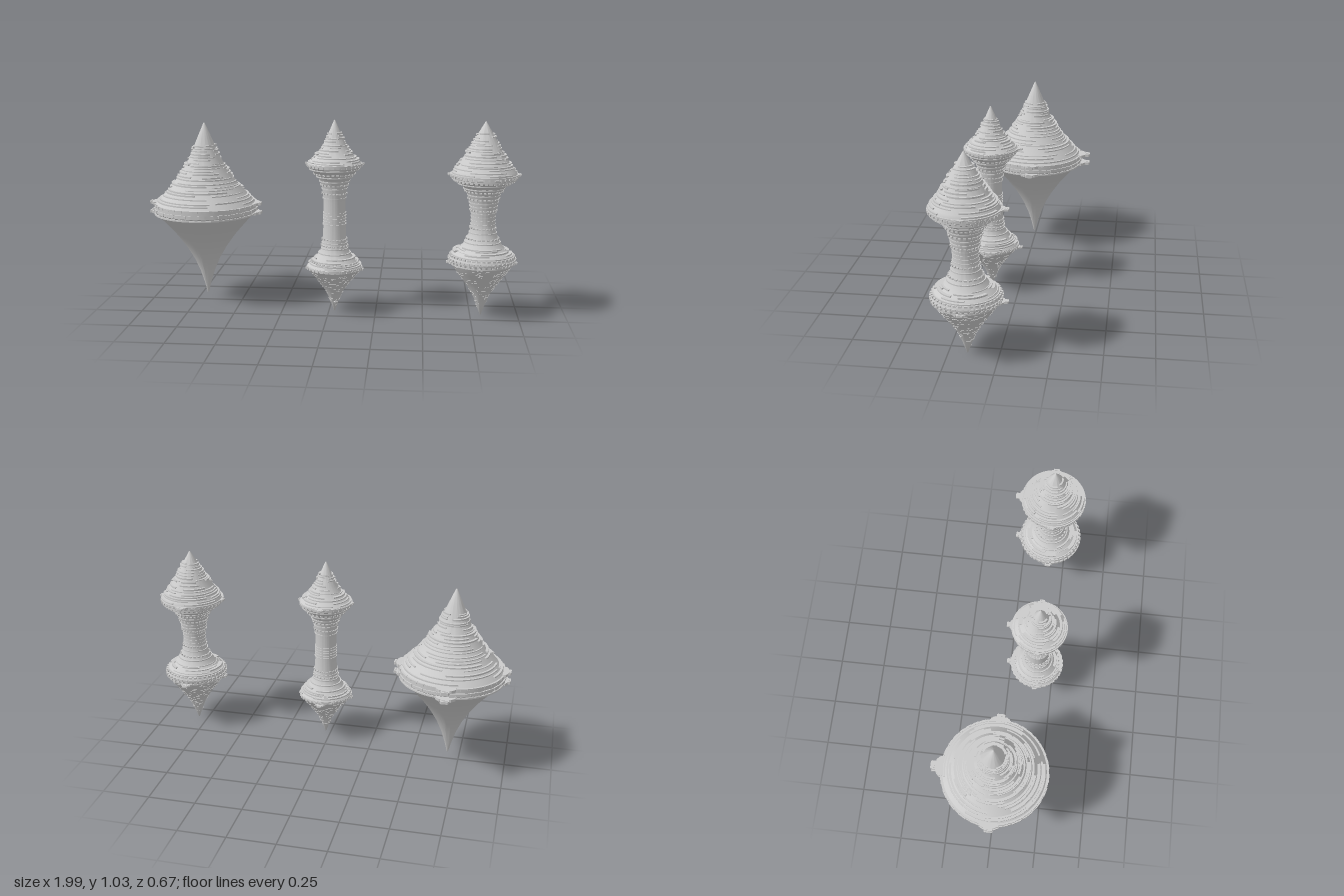
import * as THREE from 'three';
import { mergeGeometries, toCreasedNormals } from 'three/addons/utils/BufferGeometryUtils.js';

const mat = new THREE.MeshStandardMaterial({ color: 0xcccccc });

// Seeded random numbers
let seed = 7;
const rand = (a = 0, b = 1) => {
  seed = (seed * 16807) % 2147483647;
  return a + (b - a) * (seed / 2147483647);
};

// Radius of a [y, r] profile (bottom to top) at height y
function radiusAt(profile, y) {
  for (let i = 1; i < profile.length; i++) {
    const [y0, r0] = profile[i - 1], [y1, r1] = profile[i];
    if (y <= y1) return r0 + (r1 - r0) * Math.max(0, (y - y0) / (y1 - y0));
  }
  return 0;
}

function add(parent, name, geos) {
  const list = [].concat(geos).map(g => (g.index ? g.toNonIndexed() : g));
  const mesh = new THREE.Mesh(list.length > 1 ? mergeGeometries(list) : list[0], mat);
  mesh.name = name;
  parent.add(mesh);
}

function lathe(points, segments = 64) {
  return toCreasedNormals(new THREE.LatheGeometry(points.map(([y, r]) => new THREE.Vector2(r, y)), segments), 0.6);
}

// Full band of rectangular section centred on height y
const band = (y, r, h, depth = 0.02) =>
  lathe([[y - h / 2, r - depth], [y - h / 2, r], [y + h / 2, r], [y + h / 2, r - depth]]);

// Solid curved plate covering part of a circle
function arcPlate(y, r, h, start, length) {
  const inner = Math.max(r - 0.035, 0.002);
  const s = new THREE.Shape();
  s.absarc(0, 0, r, start, start + length, false);
  s.absarc(0, 0, inner, start + length, start, true);
  const g = new THREE.ExtrudeGeometry(s, { depth: h, bevelEnabled: false, curveSegments: Math.ceil(length * 8) });
  return toCreasedNormals(g.rotateX(-Math.PI / 2).translate(0, y, 0), 0.6);
}

// Box sitting on the hull at an angle, tipped to follow the slope
function hullBox(y, r, angle, w, h, d, tilt = 0) {
  return new THREE.BoxGeometry(w, h, d).rotateX(tilt).translate(0, y, r).rotateY(angle);
}

// Irregular stepped decks on an upper cone
function terraces(profile, y0, y1, step) {
  const out = [];
  for (let y = y0; y < y1; y += step * rand(0.7, 1.3)) {
    const n = 2 + Math.floor(rand(0, 3));
    const turn = rand(0, 6.28);
    for (let i = 0; i < n; i++) {
      const r = radiusAt(profile, y) + rand(0.001, 0.008);
      out.push(arcPlate(y + rand(-0.004, 0.004), r, rand(0.004, 0.009), turn + i * 6.28 / n, rand(0.45, 0.98) * 6.28 / n));
    }
  }
  return out;
}

// Row of evenly spaced blocks
function blockRow(y, r, count, h, d) {
  return Array.from({ length: count }, (_, i) =>
    hullBox(y, r, i * 2 * Math.PI / count, 0.62 * 2 * Math.PI * r / count, h, d));
}

// Small raised panels scattered over a lower cone
function panels(profile, y0, y1, count) {
  return Array.from({ length: count }, () => {
    const y = y0 + (y1 - y0) * Math.sqrt(rand());
    const r = radiusAt(profile, y);
    const slope = (radiusAt(profile, y + 0.01) - radiusAt(profile, y - 0.01)) / 0.02;
    return hullBox(y, r, rand(0, 6.28), rand(0.006, 0.022), rand(0.004, 0.012), 0.005, Math.atan(slope));
  });
}

// Docking arms: a long stepped one at the back, short ones at both sides
function docks(y, r, size, t) {
  const out = [];
  [[Math.PI, 1], [Math.PI / 2, 0.55], [-Math.PI / 2, 0.55]].forEach(([a, k]) => {
    const len = size * k;
    const s = new THREE.Shape();
    [[-0.9, -0.4], [-0.9, 0.15], [-0.55, 0.5], [-0.4, 0.5], [-0.4, 0.9], [-0.3, 1],
      [0.3, 1], [0.4, 0.9], [0.4, 0.5], [0.55, 0.5], [0.9, 0.15], [0.9, -0.4]]
      .reverse().forEach(([u, v], i) => s[i ? 'lineTo' : 'moveTo'](u * size, v * len));
    const g = new THREE.ExtrudeGeometry(s, { depth: t, bevelEnabled: false });
    out.push(g.rotateX(Math.PI / 2).translate(0, y + t / 2, r).rotateY(a));
    out.push(hullBox(y, r + len * 0.72, a, size * 0.5, t * 1.5, len * 0.25));
  });
  return out;
}

function station(name, o) {
  const g = new THREE.Group();
  g.name = name;
  const p = o.profile;
  add(g, 'hull', lathe(p));
  add(g, 'steppedDecks', o.decks.flatMap(d => terraces(p, ...d)));
  add(g, 'bands', o.bands.map(([y, h, out]) => band(y, radiusAt(p, y) + out, h)));
  add(g, 'windowBlocks', o.rows.flatMap(([y, n, h]) => blockRow(y, radiusAt(p, y) + 0.002, n, h, 0.009)));
  if (o.panels) add(g, 'hullPanels', o.panels.flatMap(d => panels(p, ...d)));
  add(g, 'dockingArms', o.docks.flatMap(([y, r, size, t]) => docks(y, r, size, t)));
  g.position.set(o.x, 0, o.z);
  return g;
}

export function createModel() {
  const model = new THREE.Group();
  model.name = 'stations';

  // Wide spinning-top station
  model.add(station('largeStation', {
    x: -0.69, z: 0,
    profile: [[0.042, 0], [0.044, 0.004], [0.1, 0.018], [0.173, 0.041], [0.24, 0.07], [0.31, 0.111], [0.377, 0.159],
      [0.445, 0.218], [0.494, 0.263], [0.51, 0.277], [0.545, 0.277], [0.56, 0.264], [0.595, 0.232], [0.65, 0.18],
      [0.718, 0.134], [0.786, 0.09], [0.84, 0.067], [0.908, 0.038], [0.985, 0.005], [0.99, 0]],
    decks: [[0.565, 0.87, 0.015]],
    bands: [[0.5, 0.008, 0.012], [0.522, 0.012, 0.005], [0.55, 0.008, 0.006]],
    rows: [[0.501, 40, 0.012], [0.549, 40, 0.012], [0.522, 24, 0.016]],
    docks: [[0.55, 0.277, 0.056, 0.014], [0.5, 0.277, 0.056, 0.014]],
  }));

  // Slender double-ended station
  model.add(station('slenderStation', {
    x: 0.03, z: 0.155,
    profile: [[0, 0], [0.005, 0.004], [0.06, 0.022], [0.11, 0.044], [0.163, 0.08], [0.217, 0.125], [0.24, 0.142],
      [0.255, 0.142], [0.28, 0.122], [0.313, 0.088], [0.35, 0.069], [0.4, 0.062], [0.5, 0.058], [0.6, 0.058],
      [0.67, 0.064], [0.7, 0.072], [0.725, 0.085], [0.762, 0.115], [0.785, 0.138], [0.805, 0.14], [0.83, 0.112],
      [0.86, 0.084], [0.9, 0.06], [0.95, 0.036], [1.025, 0.004], [1.03, 0]],
    decks: [[0.812, 0.96, 0.013], [0.262, 0.31, 0.013]],
    bands: [[0.8, 0.007, 0.006], [0.775, 0.006, 0.006], [0.25, 0.007, 0.004], [0.27, 0.006, 0.004], [0.735, 0.006, 0.005],
      [0.71, 0.006, 0.005], [0.67, 0.006, 0.004], [0.62, 0.005, 0.004], [0.54, 0.006, 0.004], [0.525, 0.006, 0.004],
      [0.51, 0.006, 0.004], [0.495, 0.006, 0.004], [0.48, 0.006, 0.004], [0.38, 0.006, 0.004], [0.35, 0.006, 0.004],
      [0.325, 0.006, 0.005]],
    rows: [[0.793, 32, 0.01], [0.245, 32, 0.01], [0.28, 32, 0.007], [0.75, 28, 0.007], [0.69, 20, 0.007],
      [0.645, 20, 0.007], [0.4, 20, 0.007], [0.365, 20, 0.007]],
    panels: [[0.03, 0.225, 150]],
    docks: [[0.8, 0.137, 0.033, 0.008], [0.235, 0.137, 0.033, 0.008]],
  }));

  // Broad-waisted double-ended station
  model.add(station('broadStation', {
    x: 0.805, z: 0.157,
    profile: [[0, 0], [0.005, 0.004], [0.064, 0.025], [0.119, 0.047], [0.187, 0.092], [0.24, 0.132], [0.287, 0.163],
      [0.305, 0.172], [0.32, 0.17], [0.342, 0.152], [0.36, 0.124], [0.377, 0.107], [0.413, 0.083], [0.46, 0.066],
      [0.513, 0.061], [0.555, 0.064], [0.61, 0.073], [0.65, 0.083], [0.69, 0.107], [0.718, 0.142], [0.74, 0.17],
      [0.757, 0.17], [0.775, 0.158], [0.813, 0.13], [0.868, 0.094], [0.93, 0.06], [0.98, 0.03], [1.025, 0.004], [1.03, 0]],
    decks: [[0.765, 0.97, 0.013], [0.345, 0.375, 0.012]],
    bands: [[0.757, 0.007, 0.005], [0.735, 0.006, 0.005], [0.71, 0.006, 0.006], [0.685, 0.006, 0.005], [0.65, 0.006, 0.004],
      [0.61, 0.006, 0.004], [0.59, 0.005, 0.004], [0.555, 0.005, 0.003], [0.535, 0.005, 0.003], [0.515, 0.005, 0.003],
      [0.495, 0.005, 0.003], [0.45, 0.006, 0.004], [0.4, 0.006, 0.004], [0.335, 0.006, 0.004], [0.287, 0.006, 0.004]],
    rows: [[0.748, 40, 0.01], [0.727, 40, 0.009], [0.297, 40, 0.009], [0.312, 40, 0.009], [0.328, 40, 0.009],
      [0.63, 22, 0.008], [0.57, 22, 0.008], [0.475, 22, 0.008], [0.42, 22, 0.008], [0.67, 28, 0.007]],
    panels: [[0.03, 0.28, 200]],
    docks: [[0.755, 0.165, 0.042, 0.009], [0.287, 0.163, 0.04, 0.009]],
  }));
  return model;
}
